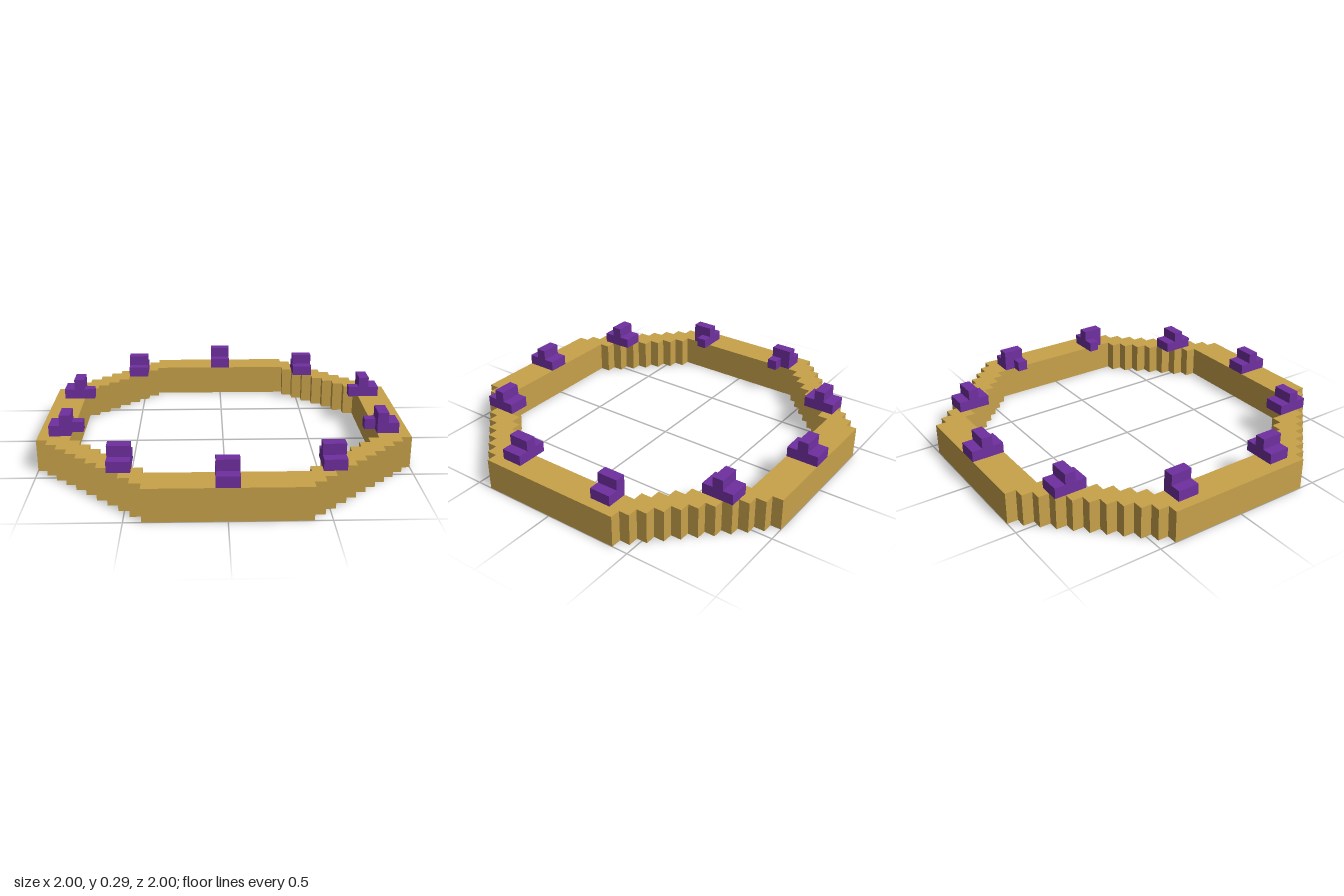
import * as THREE from 'three';

const U = 1 / 17; // one block

// Closed outline with stair-stepped corners: straight sides at distance r, each 14 blocks long
function steppedOutline(r) {
  const quarter = [];
  for (let i = 0; i < r - 7; i++) {
    quarter.push([r - i, 7 + i], [r - i - 1, 7 + i]);
  }
  quarter.push([7, r]);
  const points = [];
  for (let q = 0; q < 4; q++) {
    for (const [x, y] of quarter) {
      const [px, py] = [[x, y], [-y, x], [-x, -y], [y, -x]][q];
      points.push(new THREE.Vector2(px * U, py * U));
    }
  }
  return points;
}

// Box given by its block limits
function block(name, material, x0, x1, y0, y1, z0, z1) {
  const geometry = new THREE.BoxGeometry((x1 - x0) * U, (y1 - y0) * U, (z1 - z0) * U);
  const mesh = new THREE.Mesh(geometry, material);
  mesh.position.set((x0 + x1) * U / 2, (y0 + y1) * U / 2, (z0 + z1) * U / 2);
  mesh.name = name;
  return mesh;
}

export function createModel() {
  const model = new THREE.Group();
  model.name = 'jewelledRing';

  const gold = new THREE.MeshStandardMaterial({ color: 0xc8a24a });
  gold.name = 'gold';
  const purple = new THREE.MeshStandardMaterial({ color: 0x7030a0 });
  purple.name = 'purple';

  // Band
  const shape = new THREE.Shape(steppedOutline(17));
  shape.holes.push(new THREE.Path(steppedOutline(14)));
  const bandGeometry = new THREE.ExtrudeGeometry(shape, { depth: 3 * U, bevelEnabled: false });
  bandGeometry.rotateX(-Math.PI / 2);
  const band = new THREE.Mesh(bandGeometry, gold);
  band.name = 'band';
  model.add(band);

  // Gems on the front, back and diagonals: a wide base with a raised ridge
  const addGem = (name, x, z) => {
    const gem = new THREE.Group();
    gem.name = name;
    gem.add(
      block('gemBase', purple, x - 1, x + 1, 3, 4, z - 1.5, z + 1.5),
      block('gemRidge', purple, x - 1, x + 1, 4, 5, z - 0.5, z + 0.5)
    );
    model.add(gem);
  };
  for (const s of [1, -1]) {
    const end = s > 0 ? 'front' : 'back';
    addGem(end + 'Gem', 0, s * 15.5);
    addGem(end + 'LeftGem', 9, s * 12.5);
    addGem(end + 'RightGem', -9, s * 12.5);
  }

  // Gems on the sides, each with a small tab reaching inward
  for (const sx of [1, -1]) {
    for (const sz of [1, -1]) {
      const gem = new THREE.Group();
      gem.name = (sx > 0 ? 'left' : 'right') + (sz > 0 ? 'Front' : 'Back') + 'SideGem';
      const part = (name, x0, x1, y0, y1, z0, z1) => {
        const xs = [sx * x0, sx * x1].sort((a, b) => a - b);
        const zs = [sz * z0, sz * z1].sort((a, b) => a - b);
        gem.add(block(name, purple, ...xs, y0, y1, ...zs));
      };
      part('gemBase', 14, 16, 3, 4, 4, 6);
      part('gemRidge', 14, 15, 4, 5, 4, 6);
      part('gemTab', 13, 14, 3, 4, 4, 5);
      model.add(gem);
    }
  }

  return model;
}
